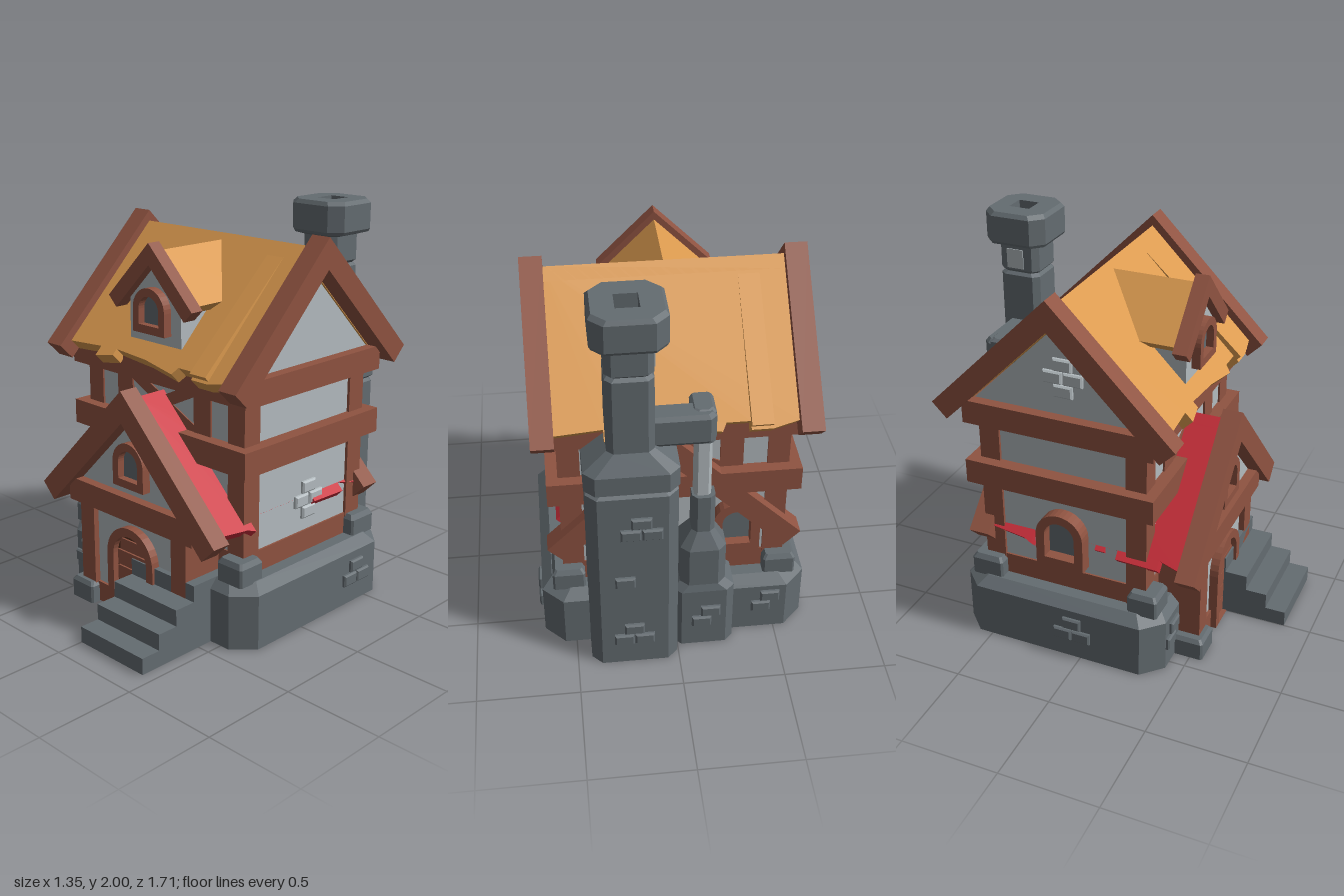
import * as THREE from 'three';

const mat = (name, color, side = THREE.FrontSide) => {
  const m = new THREE.MeshStandardMaterial({ color, side });
  m.name = name;
  return m;
};

export function createModel() {
  const root = new THREE.Group();
  root.name = 'cottage';
  const timber = mat('timber', 0x8f5341), plaster = mat('plaster', 0xb3bbbf), stone = mat('stone', 0x646c71);
  const thatch = mat('thatch', 0xdb9a4f), red = mat('redRoof', 0xcb2f3b), dark = mat('darkTimber', 0x55301f);

  const add = (name, geo, m, parent = root) => {
    const mesh = new THREE.Mesh(geo, m);
    mesh.name = name;
    parent.add(mesh);
    return mesh;
  };
  const group = (name, x, y, z, turn = 0) => {
    const g = new THREE.Group();
    g.name = name;
    g.position.set(x, y, z);
    g.rotation.y = turn;
    root.add(g);
    return g;
  };
  const box = (name, m, x0, x1, y0, y1, z0, z1, parent = root) => {
    const mesh = add(name, new THREE.BoxGeometry(x1 - x0, y1 - y0, z1 - z0), m, parent);
    mesh.position.set((x0 + x1) / 2, (y0 + y1) / 2, (z0 + z1) / 2);
    return mesh;
  };
  const shapeOf = pts => new THREE.Shape(pts.map(p => new THREE.Vector2(...p)));
  const prism = (name, m, shape, z0, z1, parent = root) => {
    const geo = new THREE.ExtrudeGeometry(shape, { depth: z1 - z0, bevelEnabled: false, curveSegments: 8 });
    return add(name, geo.translate(0, 0, z0), m, parent);
  };

  // Stonework: stacked rectangles with cut corners, rows of [y, x0, x1, z0, z1, cut]
  const stack = (name, m, rows) => {
    const rings = rows.map(([y, x0, x1, z0, z1, c]) => [
      [x1, y, z0 + c], [x1, y, z1 - c], [x1 - c, y, z1], [x0 + c, y, z1],
      [x0, y, z1 - c], [x0, y, z0 + c], [x0 + c, y, z0], [x1 - c, y, z0]]);
    const pos = [];
    const tri = (...p) => p.forEach(v => pos.push(...v));
    for (let r = 0; r + 1 < rings.length; r++) {
      for (let i = 0; i < 8; i++) {
        const j = (i + 1) % 8, a = rings[r], b = rings[r + 1];
        tri(a[i], b[i], b[j]);
        tri(a[i], b[j], a[j]);
      }
    }
    const first = rings[0], last = rings[rings.length - 1];
    for (let i = 1; i < 7; i++) {
      tri(first[0], first[i], first[i + 1]);
      tri(last[0], last[i + 1], last[i]);
    }
    const geo = new THREE.BufferGeometry();
    geo.setAttribute('position', new THREE.Float32BufferAttribute(pos, 3));
    geo.computeVertexNormals();
    return add(name, geo, m);
  };

  // Gable frame of two 45 degree beams
  const chevron = (name, apex, w, c, z0, z1, parent = root) => prism(name, timber, shapeOf([
    [0, apex], [-w, apex - w], [c - w, apex - w - c], [0, apex - 2 * c], [w - c, apex - w - c], [w, apex - w]]),
  z0, z1, parent);

  // Two roof slopes; edge lists [along ridge, down slope] for the ragged eave
  const roof = (name, m, g, edge, t, strip) => {
    for (const turn of [0, Math.PI]) {
      const side = new THREE.Group();
      side.rotation.y = turn;
      g.add(side);
      const pts = [[edge[0][0], 0], ...edge.map(([u, s]) => [u, -s]), [edge[edge.length - 1][0], 0]];
      const slab = prism(name, m, shapeOf(pts), -t, 0, side);
      slab.rotation.x = -Math.PI / 4;
      if (strip) {
        const s = add('raisedStrip', new THREE.BoxGeometry(0.1, 0.7, 0.04), m, slab);
        s.position.set(0.38, -0.435, -0.005);
        s.rotation.x = -0.04;
      }
    }
  };

  // Arched frame with a recessed panel, facing +z of its parent
  const arch = (path, w, y0, y1) => {
    path.moveTo(-w, y0);
    path.lineTo(w, y0);
    path.lineTo(w, y1 - w);
    path.absarc(0, y1 - w, w, 0, Math.PI, false);
    path.lineTo(-w, y0);
    return path;
  };
  const archFrame = (name, g, w, h, rim, sill, panel, depth = 0.05) => {
    const s = arch(new THREE.Shape(), w, 0, h);
    s.holes.push(arch(new THREE.Path(), w - rim, sill, h - rim));
    prism(name + 'Frame', timber, s, 0, depth, g);
    prism(name + 'Panel', panel, arch(new THREE.Shape(), w - rim, sill, h - rim), 0, 0.012, g);
  };

  // Clusters of protruding bricks on a wall
  const bricks = (name, m, x, y, z, turn, list) => {
    const g = group(name, x, y, z, turn);
    for (const [bx, by] of list) {
      const geo = new THREE.ExtrudeGeometry(shapeOf([[-0.04, -0.023], [0.04, -0.023], [0.04, 0.023], [-0.04, 0.023]]),
        { depth: 0.016, bevelSize: 0.008, bevelThickness: 0.008, bevelSegments: 1 });
      add('brick', geo, m, g).position.set(bx, by, 0);
    }
  };

  // Foundation, floor and corner stones
  stack('foundation', stone, [[0.003, -0.655, 0.655, -0.67, 0.42, 0.1], [0.28, -0.655, 0.655, -0.67, 0.42, 0.1],
    [0.33, -0.605, 0.605, -0.62, 0.375, 0.09]]);
  box('floorUnderside', timber, -0.36, 0.36, 0, 0.006, -0.36, 0.36);
  for (const s of [-1, 1]) {
    for (const [z0, z1] of [[0.23, 0.385], [-0.62, -0.45]]) {
      const x = s * 0.52;
      stack('cornerStone', stone, [[0.32, x - 0.08, x + 0.08, z0, z1, 0.01], [0.41, x - 0.08, x + 0.08, z0, z1, 0.01],
        [0.435, x - 0.065, x + 0.065, z0 + 0.015, z1 - 0.015, 0.01]]);
    }
  }

  // House walls and timber framing
  box('walls', plaster, -0.53, 0.53, 0.3, 1.28, -0.55, 0.3);
  box('sillBeam', timber, -0.54, 0.54, 0.32, 0.44, -0.557, 0.307);
  box('middleBeam', timber, -0.6, 0.6, 0.86, 0.985, -0.615, 0.365);
  box('upperBeam', timber, -0.6, 0.6, 1.19, 1.31, -0.615, 0.365);
  for (const s of [-1, 1]) {
    for (const [z0, z1] of [[0.205, 0.31], [-0.56, -0.455]]) {
      box('cornerPost', timber, s * 0.4925 - 0.0525, s * 0.4925 + 0.0525, 0.33, 1.2, z0, z1);
    }
    for (const z of [0.295, -0.545]) {
      box('wallPost', timber, s * 0.27 - 0.055, s * 0.27 + 0.055, 0.98, 1.2, z - 0.015, z + 0.015);
      const brace = add('brace', new THREE.BoxGeometry(0.5, 0.06, 0.024), timber);
      brace.position.set(0, 1.088, z);
      brace.rotation.z = s * 0.45;
    }
  }

  // Main roof, attic and gable frames
  const main = group('mainRoof', 0, 1.86, -0.125);
  roof('thatchSlope', thatch, main, [[-0.55, 0.77], [-0.33, 0.755], [-0.33, 0.81], [-0.22, 0.785], [-0.22, 0.75],
    [0, 0.765], [0.2, 0.8], [0.22, 0.76], [0.33, 0.76], [0.33, 0.8], [0.43, 0.8], [0.55, 0.77]], 0.07, true);
  const attic = group('attic', 0, 0, -0.125, Math.PI / 2);
  prism('gableWall', plaster, shapeOf([[-0.46, 1.295], [0.46, 1.295], [0, 1.755]]), -0.545, 0.545, attic);
  for (const z of [-0.655, 0.55]) chevron('gableFrame', 1.915, 0.615, 0.075, z, z + 0.105, attic);

  // Dormer
  prism('dormerWall', plaster, shapeOf([[-0.175, 1.39], [0.175, 1.39], [0.175, 1.585], [0, 1.76], [-0.175, 1.585]]), 0, 0.35);
  roof('dormerSlope', thatch, group('dormerRoof', 0, 1.83, 0.11, Math.PI / 2), [[-0.21, 0.332], [0.21, 0.332]], 0.055);
  chevron('dormerFrame', 1.872, 0.285, 0.052, 0.32, 0.39);
  archFrame('dormerWindow', group('dormerWindow', 0, 1.44, 0.345), 0.108, 0.22, 0.04, 0.04, stone);

  // Porch, with its roof running through the house
  prism('porchWall', plaster, shapeOf([[-0.36, 0.01], [0.36, 0.01], [0.36, 0.63], [0.42, 0.63], [0, 1.05],
    [-0.42, 0.63], [-0.36, 0.63]]), 0.29, 0.5);
  roof('porchSlope', red, group('porchRoof', 0, 1.15, -0.015, Math.PI / 2), [[-0.495, 0.78], [-0.32, 0.8], [-0.275, 0.82],
    [-0.275, 0.75], [0.055, 0.75], [0.055, 0.775], [0.105, 0.775], [0.105, 0.75], [0.17, 0.75], [0.17, 0.795], [0.385, 0.8],
    [0.385, 0.75], [0.495, 0.78]], 0.06);
  chevron('porchFrame', 1.2, 0.615, 0.08, 0.48, 0.58);
  chevron('rearFrame', 1.2, 0.615, 0.08, -0.615, -0.51);
  box('porchBeam', timber, -0.44, 0.44, 0.53, 0.65, 0.45, 0.55);
  box('porchSill', timber, -0.3, 0.3, 0.003, 0.11, 0.3, 0.515);
  for (const s of [-1, 1]) {
    box('porchPost', timber, s * 0.33 - 0.05, s * 0.33 + 0.05, 0.01, 0.54, 0.3, 0.53);
    if (s < 0) stack('postStone', stone, [[0, -0.43, -0.27, 0.38, 0.565, 0.01], [0.09, -0.43, -0.27, 0.38, 0.565, 0.01],
      [0.11, -0.415, -0.285, 0.39, 0.55, 0.01]]);
  }
  archFrame('porchWindow', group('porchWindow', 0, 0.7, 0.495), 0.108, 0.23, 0.04, 0.04, stone);

  // Door with planks
  const door = group('door', 0, 0.003, 0.5);
  archFrame('door', door, 0.165, 0.487, 0.045, 0.001, dark, 0.045);
  for (let i = 0; i < 5; i++) {
    const w = i === 4 ? 0.09 : 0.11;
    box('plank', timber, -w, w, 0.01 + i * 0.085, (i === 4 ? 0.41 : 0.088 + i * 0.085), 0.005, 0.022, door);
  }

  // Steps
  [0.86, 0.755, 0.645, 0.53].forEach((z, i) => box('step', stone, 0, 0.435, i * 0.0825, (i + 1) * 0.0825, 0.35, z));

  // Side and rear windows
  archFrame('sideWindow', group('sideWindow', -0.53, 0.48, -0.125, -Math.PI / 2), 0.125, 0.3, 0.045, 0.05, stone, 0.07);
  archFrame('rearWindow', group('rearWindow', -0.3, 0.48, -0.55, Math.PI), 0.115, 0.3, 0.045, 0.05, stone, 0.06);

  // Main chimney with an open cap
  stack('chimney', stone, [[0, 0.005, 0.43, -0.83, -0.5, 0.05], [1.06, 0.005, 0.43, -0.83, -0.5, 0.05],
    [1.075, 0.02, 0.415, -0.815, -0.5, 0.05], [1.09, 0, 0.435, -0.835, -0.5, 0.05], [1.19, 0, 0.435, -0.835, -0.5, 0.05],
    [1.28, 0.11, 0.325, -0.78, -0.565, 0.03], [1.66, 0.11, 0.325, -0.78, -0.565, 0.03],
    [1.675, 0.125, 0.31, -0.765, -0.58, 0.03], [1.69, 0.11, 0.325, -0.78, -0.565, 0.03],
    [1.82, 0.11, 0.325, -0.78, -0.565, 0.03], [1.835, 0.06, 0.375, -0.83, -0.52, 0.05],
    [1.85, 0.05, 0.385, -0.838, -0.51, 0.06], [1.98, 0.05, 0.385, -0.838, -0.51, 0.06], [2, 0.065, 0.37, -0.825, -0.525, 0.06],
    [2, 0.165, 0.27, -0.735, -0.625, 0.001], [1.87, 0.165, 0.27, -0.735, -0.625, 0.001]]);
  box('chimneyPatch', plaster, 0.105, 0.115, 1.7, 1.8, -0.73, -0.64);

  // Small stove flue joined to the chimney
  stack('stove', stone, [[0.003, -0.28, 0.02, -0.75, -0.5, 0.04], [0.36, -0.28, 0.02, -0.75, -0.5, 0.04],
    [0.4, -0.235, -0.015, -0.74, -0.52, 0.04], [0.62, -0.235, -0.015, -0.74, -0.52, 0.04],
    [0.71, -0.18, -0.07, -0.7, -0.58, 0.025], [0.92, -0.18, -0.07, -0.7, -0.58, 0.025]]);
  stack('fluePipe', plaster, [[0.9, -0.16, -0.08, -0.68, -0.6, 0.015], [1.27, -0.16, -0.08, -0.68, -0.6, 0.015]]);
  stack('flueArm', stone, [[1.26, -0.15, 0.14, -0.72, -0.63, 0.02], [1.28, -0.17, 0.14, -0.735, -0.62, 0.03],
    [1.4, -0.17, 0.14, -0.735, -0.62, 0.03], [1.42, -0.15, 0.14, -0.72, -0.63, 0.02]]);
  stack('flueElbow', stone, [[1.25, -0.17, -0.06, -0.71, -0.535, 0.02], [1.41, -0.17, -0.06, -0.71, -0.535, 0.02],
    [1.425, -0.155, -0.075, -0.69, -0.55, 0.02]]);

  // Brick clusters
  const three = [[0, 0.035], [-0.05, -0.033], [0.05, -0.033]];
  const cross = [[0, 0.066], [-0.052, 0], [0.052, 0], [0, -0.066]];
  const pair = [[0.022, 0.033], [-0.022, -0.033]];
  const quarter = Math.PI / 2;
  bricks('frontBricks', stone, -0.482, 0.18, 0.415, 0, pair);
  bricks('rightBricks', stone, 0.65, 0.172, -0.41, quarter, three);
  bricks('leftBricks', stone, -0.65, 0.172, -0.04, -quarter, three);
  bricks('rearBricks', stone, -0.45, 0.19, -0.665, Math.PI, pair);
  bricks('stoveBricks', stone, -0.14, 0.2, -0.745, Math.PI, pair);
  for (const [x, y, list] of [[0.22, 0.2, three], [0.26, 0.55, [[0, 0]]], [0.18, 0.88, three]]) {
    bricks('chimneyBricks', stone, x, y, -0.825, Math.PI, list);
  }
  bricks('wallBricks', plaster, 0.525, 0.605, -0.163, quarter, cross);
  bricks('gableBricks', plaster, -0.54, 1.5, -0.1, -quarter, cross);
  return root;
}
